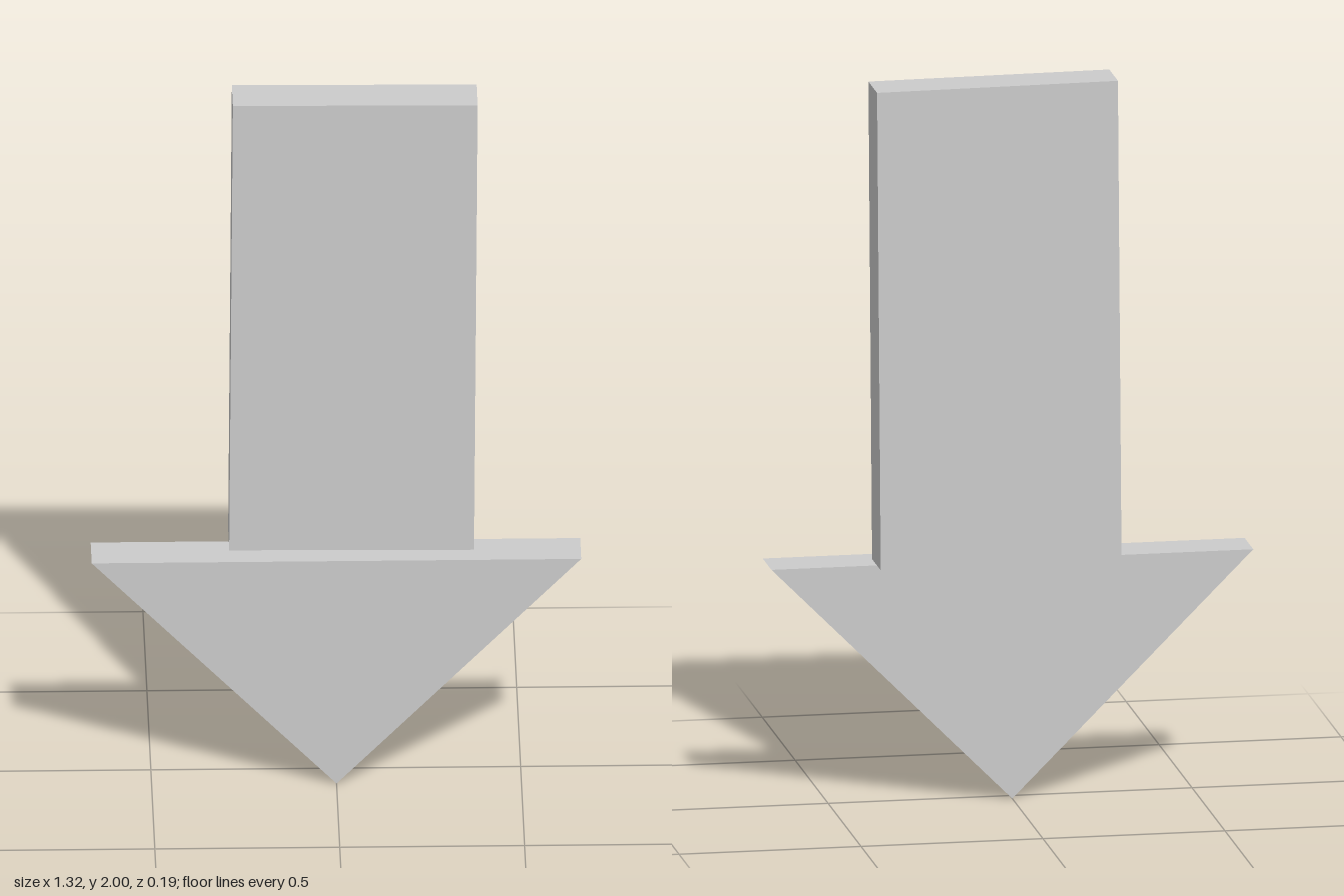
import * as THREE from 'three';

const THICKNESS = 0.132;

export function createModel() {
  const arrow = new THREE.Group();
  arrow.name = 'downArrow';
  const material = new THREE.MeshStandardMaterial({ color: 0xcccccc, flatShading: true });

  // Triangular head, pointing down, set towards the front
  const outline = new THREE.Shape([
    new THREE.Vector2(0, 0),
    new THREE.Vector2(0.662, 0.665),
    new THREE.Vector2(-0.662, 0.665),
  ]);
  const head = new THREE.Mesh(
    new THREE.ExtrudeGeometry(outline, { depth: THICKNESS, bevelEnabled: false }),
    material
  );
  head.name = 'arrowHead';
  head.position.z = -0.035;
  arrow.add(head);

  // Flat shaft, offset to the back and leaning very slightly
  const shaft = new THREE.Mesh(new THREE.BoxGeometry(0.662, 1.329, THICKNESS), material);
  shaft.name = 'arrowShaft';
  shaft.position.set(0.047, 1.333, -0.031);
  shaft.rotation.z = -0.0075;
  arrow.add(shaft);

  return arrow;
}
